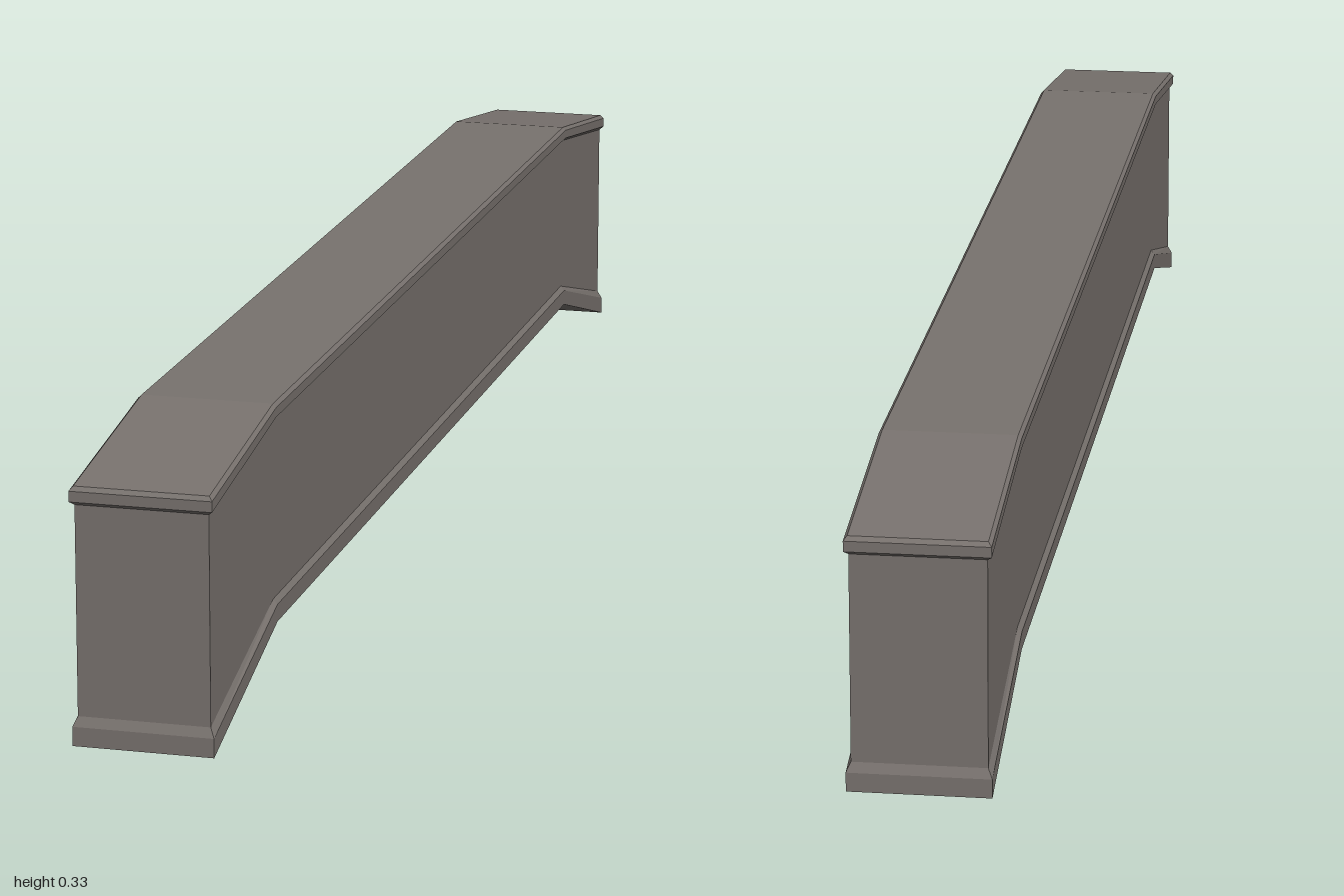
import * as THREE from 'three';

const BEND = 0.745; // z where the straight middle meets the sloping ends

// One loop around the beam: half width, half length, height at the ends and along the middle
function ring([w, l, yEnd, yMid]) {
  const side = [[l, yEnd], [BEND, yMid], [-BEND, yMid], [-l, yEnd]];
  return [
    ...side.map(([z, y]) => [w, y, z]),
    ...side.reverse().map(([z, y]) => [-w, y, z]),
  ];
}

// Skin a stack of loops, with optional caps below and above
function loft(levels, { bottom = false, top = false }) {
  const rings = levels.map(ring);
  const pos = [];
  const quad = (a, b, c, d) => [a, b, c, a, c, d].forEach(p => pos.push(...p));
  for (let k = 0; k + 1 < rings.length; k++) {
    const lo = rings[k], hi = rings[k + 1];
    for (let i = 0; i < 8; i++) {
      const j = (i + 1) % 8;
      quad(lo[i], lo[j], hi[j], hi[i]);
    }
  }
  const first = rings[0], last = rings[rings.length - 1];
  for (let i = 0; i < 3; i++) {
    const strip = [i, i + 1, 6 - i, 7 - i];
    if (top) quad(...strip.map(n => last[n]));
    if (bottom) quad(...strip.reverse().map(n => first[n]));
  }
  const geo = new THREE.BufferGeometry();
  geo.setAttribute('position', new THREE.Float32BufferAttribute(pos, 3));
  geo.computeVertexNormals();
  return geo;
}

export function createModel() {
  const stone = new THREE.MeshStandardMaterial({ color: 0x78726e });
  stone.name = 'warm grey stone';
  const model = new THREE.Group();
  model.name = 'stoneBeam';

  const add = (name, levels, caps = {}) => {
    const mesh = new THREE.Mesh(loft(levels, caps), stone);
    mesh.name = name;
    model.add(mesh);
  };

  const wallFoot = [0.075, 0.995, 0.033, 0.101];
  const wallHead = [0.075, 0.995, 0.272, 0.309];

  // Base moulding with a chamfered upper edge
  add('baseMoulding', [
    [0.08, 1, 0, 0.075],
    [0.08, 1, 0.022, 0.095],
    wallFoot,
  ], { bottom: true });

  // Plain recessed wall
  add('wall', [wallFoot, wallHead]);

  // Coping moulding, chamfered below and above
  add('copingMoulding', [
    wallHead,
    [0.08, 1, 0.276, 0.313],
    [0.08, 1, 0.288, 0.324],
    [0.076, 0.996, 0.293, 0.328],
  ], { top: true });

  return model;
}
